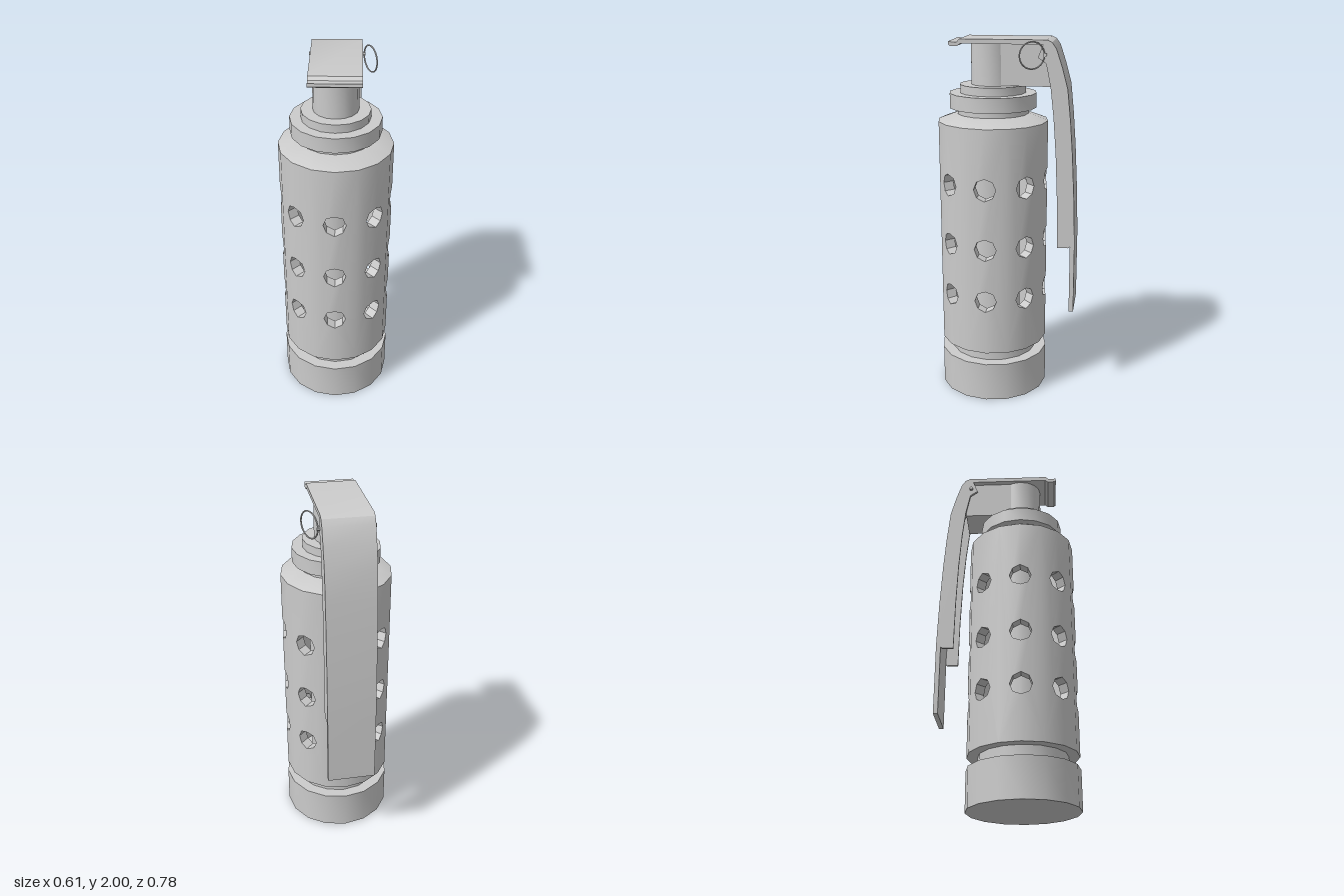
import * as THREE from 'three';
import { mergeGeometries, toCreasedNormals } from 'three/addons/utils/BufferGeometryUtils.js';

const SIDES = 16, STEP = (Math.PI * 2) / SIDES, AXIS_Z = 0.085;
const material = new THREE.MeshStandardMaterial({ color: 0xcccccc });

function part(name, geometry) {
  const mesh = new THREE.Mesh(toCreasedNormals(geometry, 0.5), material);
  mesh.name = name;
  return mesh;
}

// Turned part around the canister axis, profile listed bottom to top
function turned(name, profile, sides = SIDES) {
  const geometry = new THREE.LatheGeometry(profile.map(([r, y]) => new THREE.Vector2(r, y)), sides);
  return part(name, geometry.translate(0, 0, AXIS_Z));
}

// Side outline given as [z, y], extruded across x and centred on x
function sideExtrude(name, outline, width, x = 0) {
  const shape = new THREE.Shape(outline.map(([z, y]) => new THREE.Vector2(z, y)));
  const geometry = new THREE.ExtrudeGeometry(shape, { depth: width, bevelEnabled: false });
  return part(name, geometry.rotateY(-Math.PI / 2).translate(x + width / 2, 0, 0));
}

// One flat facet of the sleeve, with half of each octagonal hole cut from the edge on side s
function sleeveFacet(k, radius, thickness, bottom, top, holeRows, holeRadius) {
  const w = radius * Math.sin(STEP / 2), s = k % 2 ? 1 : -1;
  const points = [new THREE.Vector2(-s * w, bottom), new THREE.Vector2(-s * w, top), new THREE.Vector2(s * w, top)];
  for (const y of holeRows) {
    for (let i = 0; i <= 4; i++) {
      const t = (i * Math.PI) / 4;
      points.push(new THREE.Vector2(s * (w - holeRadius * Math.sin(t)), y + holeRadius * Math.cos(t)));
    }
  }
  points.push(new THREE.Vector2(s * w, bottom));
  const geometry = new THREE.ExtrudeGeometry(new THREE.Shape(points), { depth: thickness, bevelEnabled: false });
  geometry.translate(0, 0, -thickness);
  // Mitre both edges so that neighbouring facets meet along the seams
  const p = geometry.attributes.position;
  for (let i = 0; i < p.count; i++) {
    const side = p.getX(i) * s > -0.5 * w ? s : -s;
    p.setX(i, p.getX(i) + side * p.getZ(i) * Math.tan(STEP / 2));
  }
  geometry.translate(0, 0, radius * Math.cos(STEP / 2));
  return geometry.rotateY((k + 0.5) * STEP);
}

export function createModel() {
  const group = new THREE.Group();

  // Canister: base, perforated sleeve and inner core
  group.add(turned('baseCap', [[0, 0], [0.305, 0], [0.305, 0.22], [0, 0.22]]));
  group.add(turned('lowerNeck', [[0.243, 0.21], [0.243, 0.31], [0, 0.31]]));
  group.add(turned('innerCore', [[0.15, 0.3], [0.15, 1.58]]));
  const facets = [];
  for (let k = 0; k < SIDES; k++) {
    facets.push(sleeveFacet(k, 0.302, 0.06, 0.29, 1.56, [1.235, 0.9, 0.6], 0.061));
  }
  const sleeve = part('perforatedSleeve', mergeGeometries(facets));
  sleeve.position.z = AXIS_Z;
  group.add(sleeve);

  // Shoulder and stepped collars
  group.add(turned('shoulder', [[0, 1.555], [0.302, 1.56], [0.2, 1.598], [0.196, 1.598], [0.196, 1.64]]));
  group.add(turned('wideCollar', [[0, 1.63], [0.238, 1.63], [0.238, 1.71], [0, 1.71]]));
  group.add(turned('narrowCollar', [[0, 1.705], [0.18, 1.705], [0.18, 1.755], [0, 1.755]]));

  // Head: round column with a block reaching back to the lever
  group.add(turned('headColumn', [[0.118, 1.75], [0.118, 1.98]]));
  group.add(sideExtrude('headBlock', [[0.06, 1.757], [0.06, 1.98], [-0.2, 1.98], [-0.24, 1.9], [-0.24, 1.757]], 0.2));

  // Lever: bent strap with a curled front lip
  const back = [[-0.22, 2], [-0.245, 1.988], [-0.268, 1.955], [-0.3, 1.86], [-0.33, 1.75],
    [-0.348, 1.58], [-0.362, 1.4], [-0.376, 1.15], [-0.385, 0.9]];
  const inside = [[-0.36, 0.9], [-0.352, 1.15], [-0.338, 1.4], [-0.324, 1.58], [-0.306, 1.75],
    [-0.276, 1.86], [-0.246, 1.945], [-0.23, 1.968], [-0.21, 1.976]];
  group.add(sideExtrude('leverStrap', [
    [0.298, 1.988], [0.285, 1.984], [0.255, 1.984], [0.24, 2], ...back,
    [-0.387, 0.5], [-0.362, 0.5], ...inside,
    [0.235, 1.976], [0.252, 1.964], [0.29, 1.964], [0.3, 1.972],
  ], 0.264));

  // Folded side flanges of the lever
  const flange = [...back, [-0.383, 0.885], [-0.36, 0.885], [-0.35, 0.878], [-0.29, 0.878],
    [-0.284, 1.15], [-0.273, 1.4], [-0.258, 1.6], [-0.24, 1.76], [-0.215, 1.88], [-0.172, 1.91], [-0.2, 1.98]];
  for (const side of [-1, 1]) {
    group.add(sideExtrude(side > 0 ? 'leftLeverFlange' : 'rightLeverFlange', flange, 0.014, side * 0.125));
  }

  // Safety pin and pull ring
  const pin = new THREE.CylinderGeometry(0.01, 0.01, 0.296, 8).rotateZ(Math.PI / 2);
  group.add(part('safetyPin', pin.translate(0, 1.925, -0.21)));
  const ring = part('pullRing', new THREE.TorusGeometry(0.069, 0.004, 6, 24));
  ring.position.set(0.174, 1.925, -0.146);
  ring.rotation.y = -1.08;
  group.add(ring);

  return group;
}
